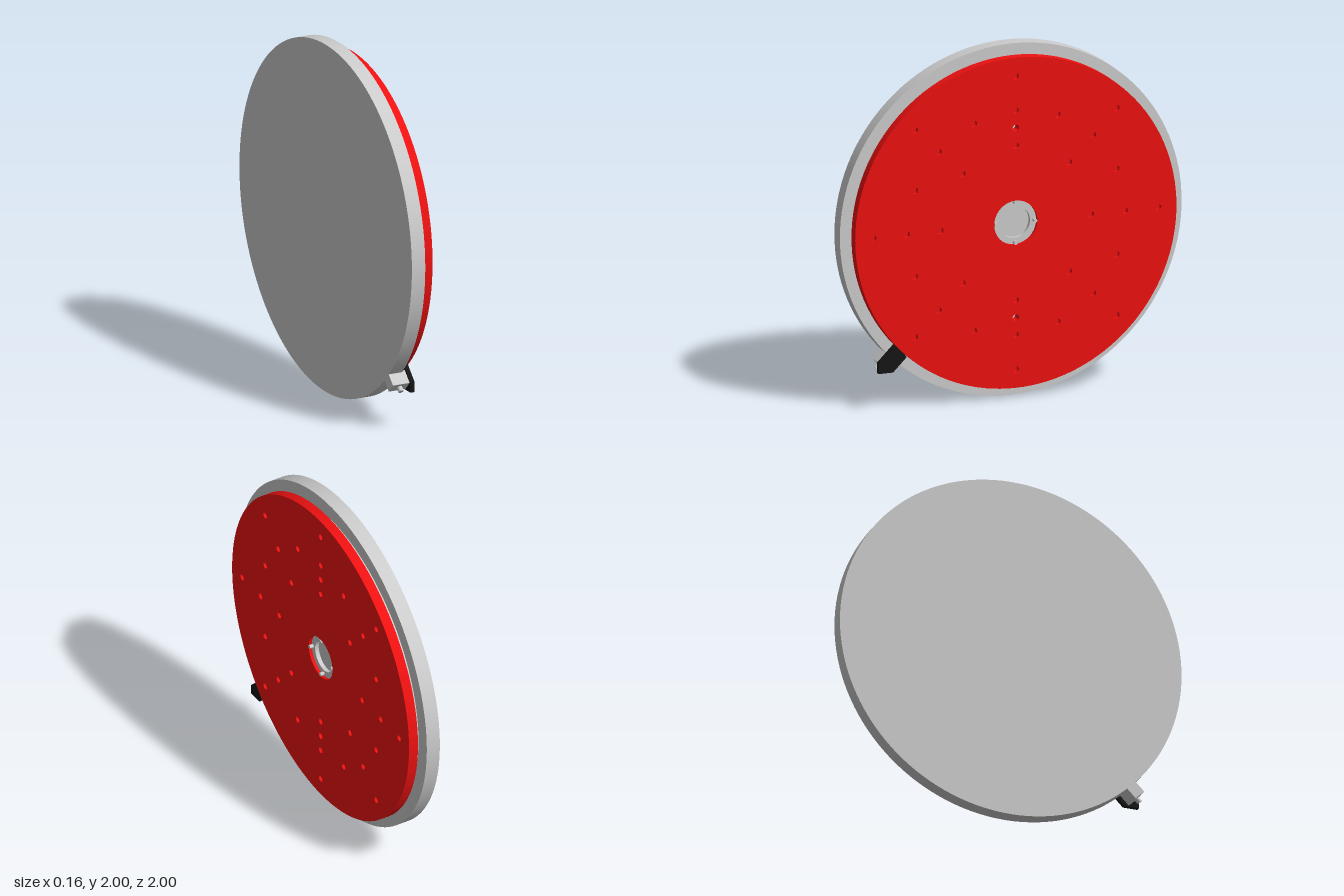
import * as THREE from 'three';
import { toCreasedNormals } from 'three/addons/utils/BufferGeometryUtils.js';

const paint = (color) => new THREE.MeshStandardMaterial({ color });
const grey = paint(0xcccccc), red = paint(0xee1111), black = paint(0x151515);

export function createModel() {
  const model = new THREE.Group();
  model.name = 'rotaryTable';
  // Everything is built with its axis along z, then turned to face +x.
  const table = new THREE.Group();
  table.name = 'table';
  table.rotation.y = Math.PI / 2;
  table.position.y = 1;
  model.add(table);

  const add = (name, geometry, material, parent = table) => {
    const mesh = new THREE.Mesh(geometry, material);
    mesh.name = name;
    parent.add(mesh);
    return mesh;
  };
  // Disc between two depths
  const disc = (name, radius, z0, z1, material, x = 0, y = 0, sides = 128) => {
    const g = new THREE.CylinderGeometry(radius, radius, z1 - z0, sides);
    g.rotateX(Math.PI / 2);
    g.translate(x, y, (z0 + z1) / 2);
    return add(name, g, material);
  };
  // Shape extruded between two depths
  const slab = (name, shape, z0, z1, material, curveSegments = 12) => {
    const g = new THREE.ExtrudeGeometry(shape, { depth: z1 - z0, bevelEnabled: false, curveSegments });
    g.translate(0, 0, z0);
    return add(name, toCreasedNormals(g, 0.6), material);
  };
  // Round plate with holes given as [x, y, radius]
  const plate = (radius, holes) => {
    const shape = new THREE.Shape().absarc(0, 0, radius, 0, Math.PI * 2);
    for (const [x, y, r] of holes) {
      shape.holes.push(new THREE.Path().absarc(x, y, r, 0, Math.PI * 2, true));
    }
    return shape;
  };

  // Base and stepped bearing
  disc('base', 1, -0.083, 0, grey);
  disc('bearingLower', 0.912, 0, 0.01, grey);
  disc('bearingUpper', 0.924, 0.01, 0.02, grey);

  // Turning plate: through holes in both layers, blind holes in the face only
  const through = [[0, 0, 0.126], [0, 0.54, 0.019], [0, -0.54, 0.019]];
  const blind = [];
  for (const [ring, count] of [[0.44, 8], [0.638, 16], [0.834, 8]]) {
    for (let i = 0; i < count; i++) {
      const a = (i / count) * Math.PI * 2;
      blind.push([Math.cos(a) * ring, Math.sin(a) * ring, 0.018]);
    }
  }
  slab('turningPlateBack', plate(0.94, through), 0.02, 0.047, red, 64);
  slab('turningPlateFace', plate(0.94, [...through, ...blind]), 0.047, 0.077, red, 64);

  // Hub flange sunk into the centre, with four screws
  slab('hubFlange', plate(0.126, [[0, 0, 0.09]]), 0.02, 0.058, grey, 32);
  disc('hubFloor', 0.09, 0.02, 0.035, grey, 0, 0, 64);
  for (let i = 0; i < 4; i++) {
    const a = (i * Math.PI) / 2;
    disc('hubScrew', 0.011, 0.055, 0.081, grey, Math.cos(a) * 0.114, Math.sin(a) * 0.114, 16);
  }

  // Index pointer on the rim
  const outline = [[-0.69, -0.626], [-0.791, -0.727], [-0.791, -0.786], [-0.706, -0.786], [-0.626, -0.706]];
  slab('pointer', new THREE.Shape(outline.map(([x, y]) => new THREE.Vector2(x, y))), 0.02, 0.045, black);

  // Bracket and screw, with local x running out from the rim
  const arm = new THREE.Group();
  arm.name = 'pointerMount';
  arm.rotation.z = -Math.PI * 0.75;
  table.add(arm);
  add('bracket', new THREE.BoxGeometry(0.08, 0.07, 0.103), grey, arm).position.set(1.03, 0, -0.0315);
  const screw = add('bracketScrew', new THREE.CylinderGeometry(0.015, 0.015, 0.035, 20), grey, arm);
  screw.rotation.z = Math.PI / 2;
  screw.position.set(1.08, 0, -0.03);

  return model;
}
